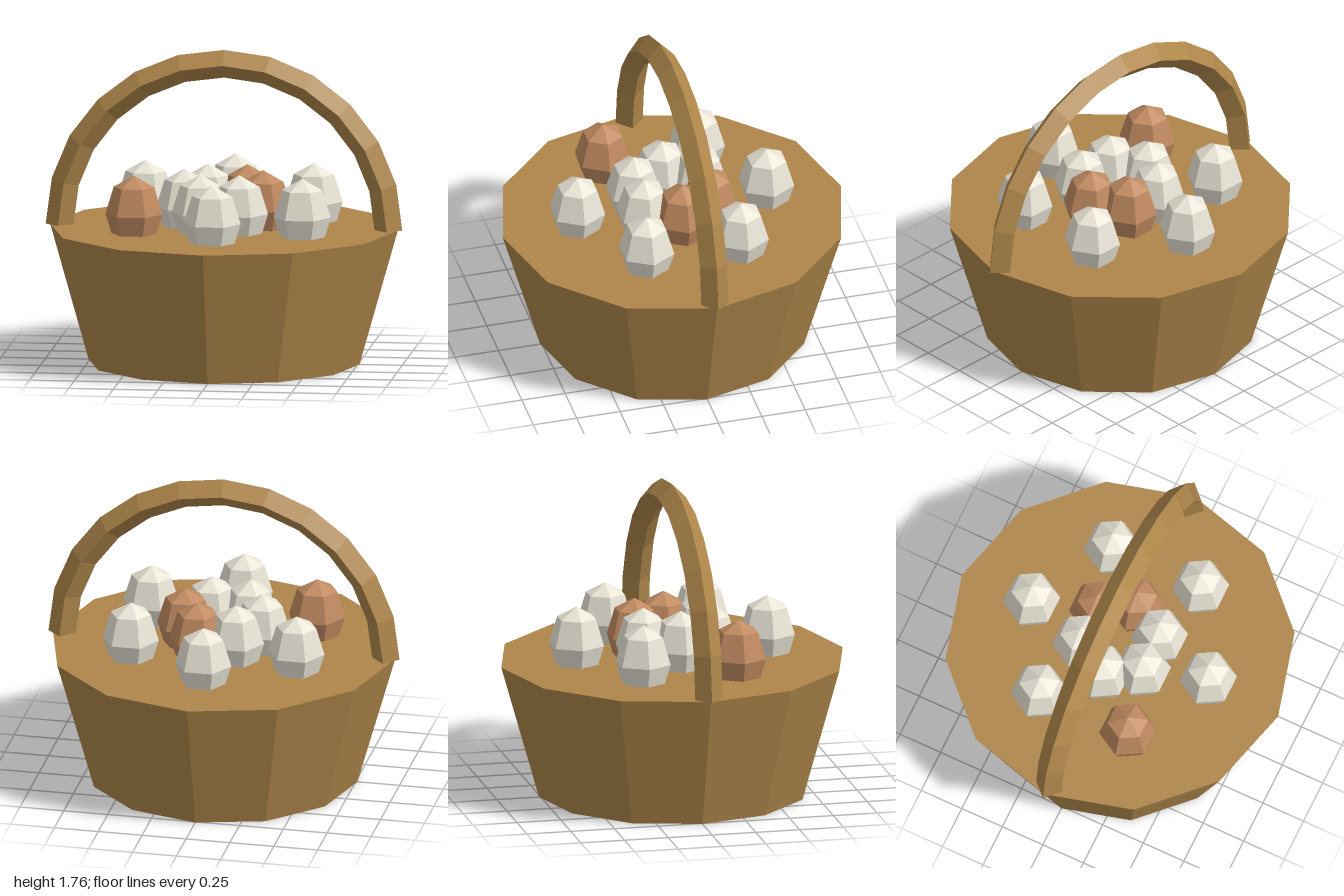
import * as THREE from 'three';

const flat = (color, side = THREE.FrontSide) =>
  new THREE.MeshStandardMaterial({ color, flatShading: true, side });

export function createModel() {
  const group = new THREE.Group();
  const wicker = flat(0xae864a);
  const white = flat(0xe8e4d6);
  const brown = flat(0xc08a60);

  const add = (parent, name, geometry, material, x, y, z) => {
    const mesh = new THREE.Mesh(geometry, material);
    mesh.name = name;
    mesh.position.set(x, y, z);
    parent.add(mesh);
    return mesh;
  };

  // Tapered twelve-sided basket with a closed top
  const rimY = 0.76;
  add(group, 'basket', new THREE.CylinderGeometry(0.975, 0.76, rimY, 12), wicker, 0, rimY / 2, 0);

  // Half-ring handle with a diamond section
  const handle = new THREE.TorusGeometry(0.922, 0.078, 4, 12, Math.PI);
  add(group, 'handle', handle, flat(0xae864a, THREE.DoubleSide), 0, rimY, 0);

  // Two rings of six-sided eggs, half sunk into the top
  const eggs = new THREE.Group();
  eggs.name = 'eggs';
  group.add(eggs);
  const egg = new THREE.SphereGeometry(0.16, 6, 4).scale(1, 1.35, 1);
  const ring = (name, radius, start, brownOnes) => {
    for (let i = 0; i < 6; i++) {
      const a = start + (i * Math.PI) / 3;
      add(eggs, name, egg, brownOnes.includes(i) ? brown : white,
        radius * Math.cos(a), 0.87, radius * Math.sin(a));
    }
  };
  ring('innerEgg', 0.22, 0, [0, 5]);
  ring('outerEgg', 0.545, Math.PI / 6, [2]);

  return group;
}
